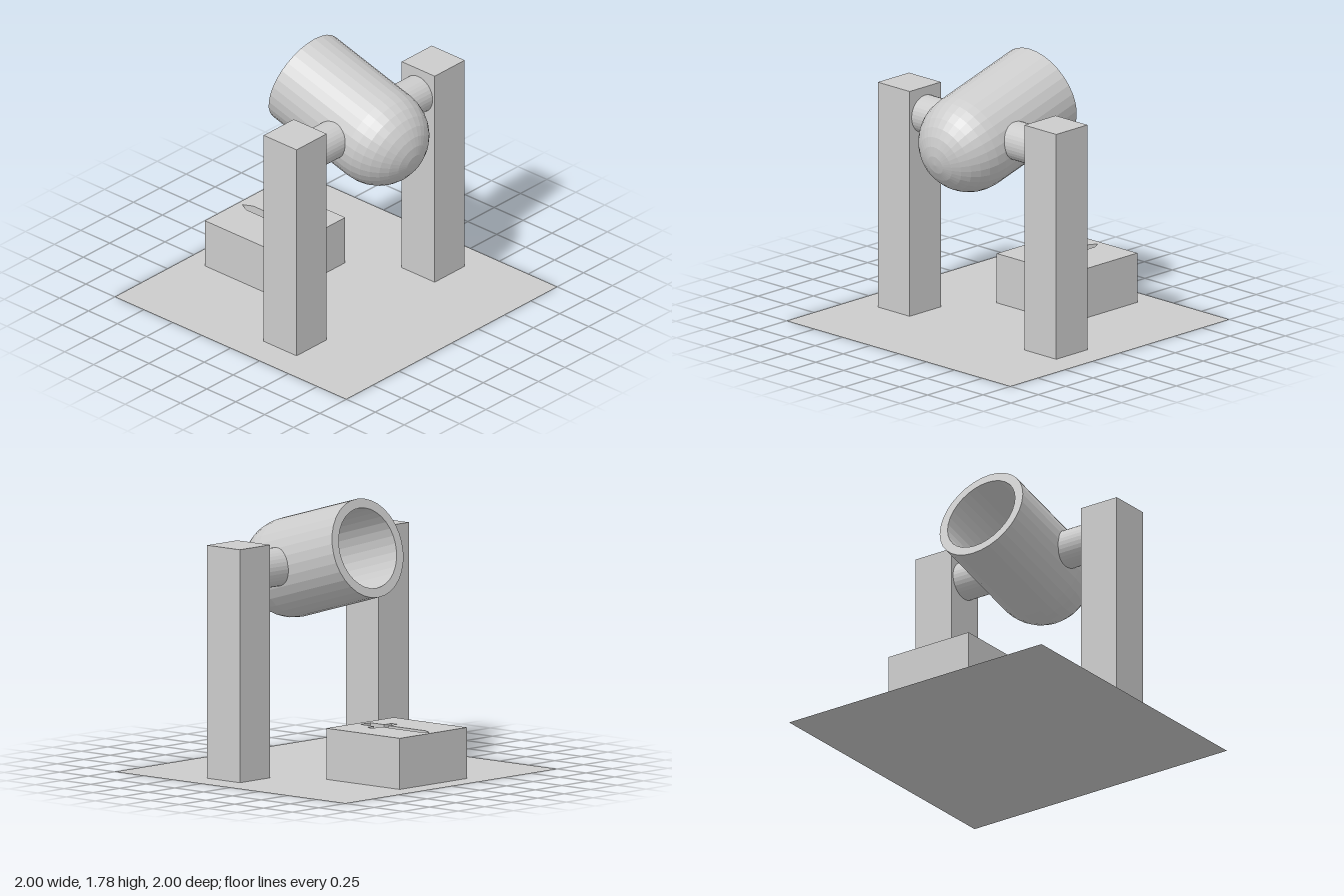
import * as THREE from 'three';

const material = new THREE.MeshStandardMaterial({ color: 0xcccccc, flatShading: true, side: THREE.DoubleSide });

function part(name, geometry, x, y, z, parent) {
  const mesh = new THREE.Mesh(geometry, material);
  mesh.name = name;
  mesh.position.set(x, y, z);
  parent.add(mesh);
  return mesh;
}

// Hollow round-bottomed vessel: outer dome and wall, rim, inner wall and bowl
function crucibleGeometry(outer, inner, length) {
  const points = [];
  const arc = (radius, from, to) => {
    for (let i = 0; i <= 8; i++) {
      const a = THREE.MathUtils.lerp(from, to, i / 8);
      points.push(new THREE.Vector2(Math.max(0, radius * Math.sin(a)), -radius * Math.cos(a)));
    }
  };
  arc(outer, 0, Math.PI / 2);
  points.push(new THREE.Vector2(outer, length), new THREE.Vector2(inner, length));
  arc(inner, Math.PI / 2, 0);
  return new THREE.LatheGeometry(points, 32);
}

// Sword-shaped outline, mirrored across its long axis
function swordOutline() {
  const half = [[-0.75, 0.033], [-0.43, 0.033], [-0.43, 0.115], [-0.38, 0.115], [-0.38, 0.047], [-0.26, 0.047]];
  const mirrored = half.map(([x, y]) => [x, -y]).reverse();
  return new THREE.Path([[-0.815, 0], ...half, ...mirrored].map(([x, y]) => new THREE.Vector2(x, y)));
}

export function createModel() {
  const group = new THREE.Group();
  group.name = 'castingStand';

  part('ground', new THREE.PlaneGeometry(2, 2).rotateX(-Math.PI / 2), 0, 0, 0, group);

  const rig = new THREE.Group();
  rig.name = 'castingRig';
  rig.position.z = -0.006;
  group.add(rig);

  // Posts and the round pivots they carry
  for (const [side, s] of [['front', 1], ['back', -1]]) {
    part(side + 'Post', new THREE.BoxGeometry(0.285, 1.505, 0.285), 0.238, 0.7525, s * 0.655, rig);
    part(side + 'Pivot', new THREE.CylinderGeometry(0.125, 0.125, 0.26, 32).rotateX(Math.PI / 2),
      0.238, 1.325, s * 0.405, rig);
  }

  // Tilted crucible, its mouth facing -x
  const crucible = part('crucible', crucibleGeometry(0.323, 0.262, 0.672), 0.365, 1.278, 0, rig);
  crucible.rotation.z = THREE.MathUtils.degToRad(73.8);

  // Mold block: solid base below a slab pierced by the sword outline
  const depth = 0.06, height = 0.33;
  const mold = new THREE.Group();
  mold.name = 'mold';
  rig.add(mold);
  part('moldBase', new THREE.BoxGeometry(0.635, height - depth, 0.635), -0.5325, (height - depth) / 2, 0, mold);
  const slab = new THREE.Shape([[-0.85, -0.3175], [-0.215, -0.3175], [-0.215, 0.3175], [-0.85, 0.3175]]
    .map(([x, y]) => new THREE.Vector2(x, y)));
  slab.holes.push(swordOutline());
  part('moldTop', new THREE.ExtrudeGeometry(slab, { depth, bevelEnabled: false }).rotateX(-Math.PI / 2),
    0, height - depth, 0, mold);

  return group;
}
